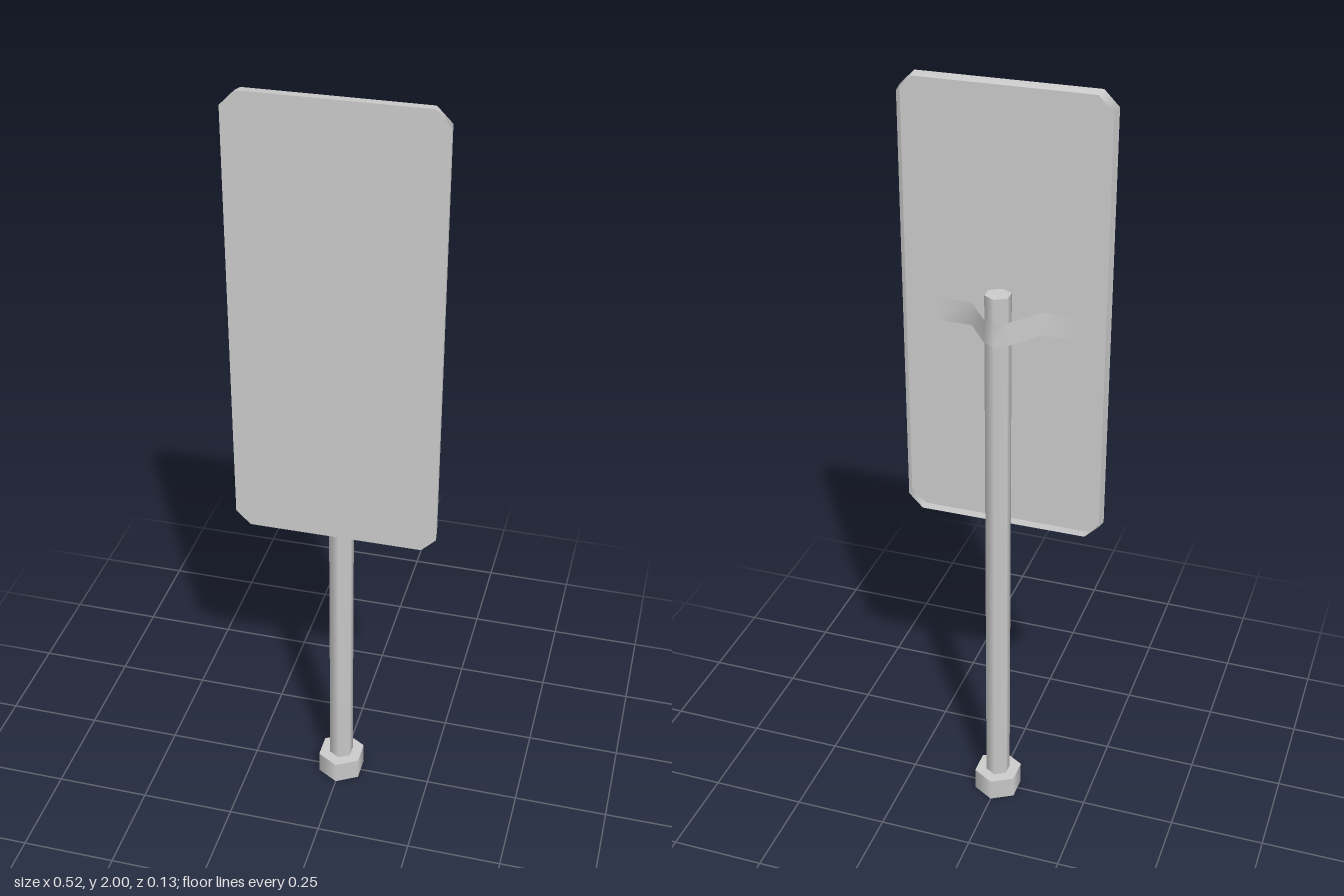
import * as THREE from 'three';

const grey = new THREE.MeshStandardMaterial({ color: 0xcccccc });
const greyThin = new THREE.MeshStandardMaterial({ color: 0xcccccc, side: THREE.DoubleSide });

function addPart(group, name, geometry, material = grey) {
  const mesh = new THREE.Mesh(geometry, material);
  mesh.name = name;
  group.add(mesh);
  return mesh;
}

// Surface strip through a list of [pointA, pointB] pairs
function stripGeometry(pairs) {
  const index = [];
  for (let k = 0; k < 2 * pairs.length - 2; k += 2) {
    index.push(k, k + 1, k + 2, k + 2, k + 1, k + 3);
  }
  const geometry = new THREE.BufferGeometry();
  geometry.setAttribute('position', new THREE.Float32BufferAttribute(pairs.flat(2), 3));
  geometry.setIndex(index);
  geometry.computeVertexNormals();
  return geometry;
}

// Rectangle with clipped corners, starting and ending mid-bottom
function clippedOutline(halfW, halfH, clip) {
  const a = halfW - clip, b = halfH - clip;
  return [
    [0, -halfH], [a, -halfH], [halfW, -b], [halfW, b], [a, halfH],
    [-a, halfH], [-halfW, b], [-halfW, -b], [-a, -halfH], [0, -halfH],
  ];
}

export function createModel() {
  const model = new THREE.Group();
  model.name = 'signpost';

  // Hexagonal foot and pole, corners pointing front and back
  addPart(model, 'foot', new THREE.CylinderGeometry(0.065, 0.065, 0.062, 6)).position.set(0, 0.031, -0.002);
  addPart(model, 'pole', new THREE.CylinderGeometry(0.033, 0.033, 1.455, 6)).position.set(0, 0.78, -0.002);

  // Sign board: a shallow tray, open at the back, its rim narrowing backwards
  const board = new THREE.Group();
  board.name = 'signBoard';
  board.position.y = 1.425;
  model.add(board);
  const front = clippedOutline(0.259, 0.575, 0.037);
  const back = clippedOutline(0.255, 0.571, 0.037);
  const face = new THREE.ShapeGeometry(new THREE.Shape(front.slice(0, -1).map(([x, y]) => new THREE.Vector2(x, y))));
  addPart(board, 'boardFace', face, greyThin).position.z = 0.065;
  const rim = front.map((p, i) => [[...p, 0.065], [...back[i], 0.033]]);
  addPart(board, 'boardRim', stripGeometry(rim), greyThin);

  // Strap wrapping the pole, its ends lying flat inside the tray
  const half = [[0.182, 0.063], [0.09, 0.063], [0.03, -0.019]];
  const mirrored = half.map(([x, z]) => [-x, z]).reverse();
  const path = [...mirrored.reverse(), [0, -0.0365], ...half.reverse()];
  const strap = path.map(([x, z]) => [[x, 1.385, z], [x, 1.445, z]]);
  addPart(model, 'strap', stripGeometry(strap), greyThin);

  return model;
}
